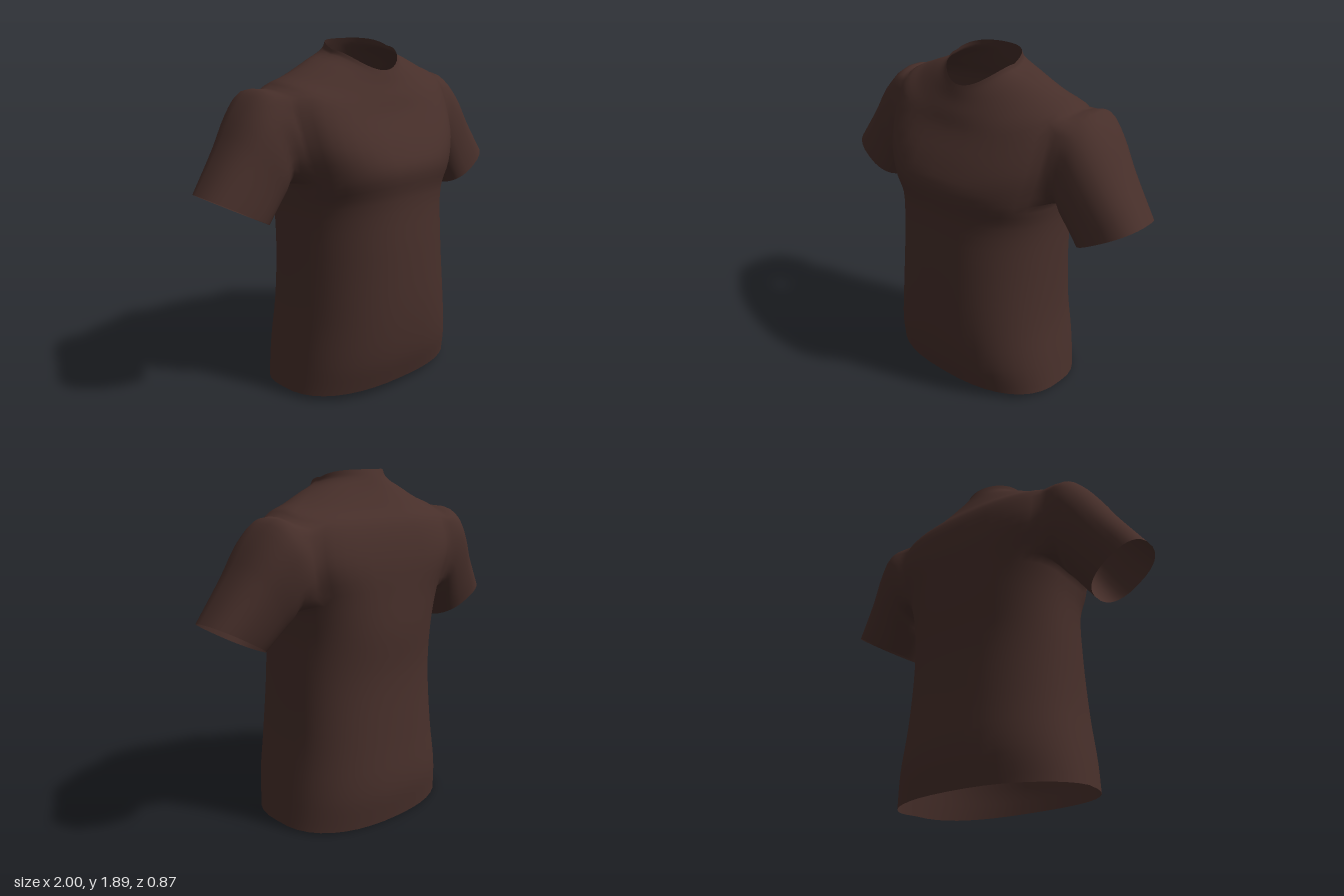
import * as THREE from 'three';

const COLS = 40, SUB = 4;                // columns round the body, steps per key ring
const ARM_FRONT = 3, ARM_BACK = 4;       // armhole columns before and behind the side seam
const ARM_LOW = 5, ARM_HIGH = 7;         // key rings bounding the armhole

// Body key rings: front y, side y, back y, half width, front z, back z, middle z,
// squareness of the front and of the back
const RINGS = [
  [0.045, 0.025, 0.002, 0.56, 0.37, -0.41, -0.03, 2.4, 2.3],
  [0.21, 0.2, 0.19, 0.535, 0.41, -0.43, -0.03, 2.4, 2.3],
  [0.45, 0.45, 0.45, 0.5, 0.43, -0.41, -0.03, 2.3, 2.3],
  [0.8, 0.8, 0.8, 0.485, 0.425, -0.388, -0.04, 2.15, 2.25],
  [1.1, 1.05, 1.05, 0.487, 0.413, -0.4, -0.05, 2.2, 2.3],
  [1.26, 1.19, 1.24, 0.507, 0.435, -0.395, -0.06, 2.5, 2.7],
  [1.38, 1.42, 1.44, 0.555, 0.385, -0.385, -0.08, 2.7, 3.6],
  [1.53, 1.67, 1.61, 0.555, 0.295, -0.345, -0.09, 2.4, 2.8],
  [1.61, 1.733, 1.7, 0.44, 0.26, -0.285, -0.07, 2.1, 2.2],
  [1.67, 1.782, 1.79, 0.32, 0.23, -0.23, -0.03, 2, 2],
  [1.72, 1.825, 1.85, 0.21, 0.21, -0.2, 0, 2, 2],
  [1.745, 1.85, 1.89, 0.198, 0.2, -0.18, 0, 2, 2],
];

// Sleeve key rings: top x, top y, bottom x, bottom y, front z, back z
const SLEEVE = [
  [0.635, 1.668, 0.535, 1.175, 0.145, -0.315],
  [0.735, 1.57, 0.565, 1.13, 0.145, -0.295],
  [0.84, 1.41, 0.605, 1.075, 0.135, -0.255],
  [1.0, 1.19, 0.66, 1.0, 0.125, -0.205],
];

const bend = (v, n) => Math.sign(v) * Math.abs(v) ** (2 / n);

function bodyPoint([yF, yS, yB, w, zF, zB, zM, nF, nB], t) {
  const s = Math.sin(t), c = Math.cos(t);
  const n = c > 0 ? nF : nB;
  const y = c > 0 ? yS + (yF - yS) * c * c : yS + (yB - yS) * (1 - (1 + c) ** 2);
  return new THREE.Vector3(w * bend(s, n), y, zM + Math.abs(bend(c, n)) * ((c > 0 ? zF : zB) - zM));
}

// The crown of the sleeve leans slightly backwards
function sleevePoint([tx, ty, bx, by, zF, zB], angle, side) {
  const u = bend(Math.cos(angle), 2.4), v = bend(Math.sin(angle), 2.4);
  return new THREE.Vector3(
    side * ((tx + bx) / 2 + v * (tx - bx) / 2),
    (ty + by) / 2 + v * (ty - by) / 2,
    (zF + zB) / 2 - side * u * (zF - zB) / 2 - 0.02 * v);
}

function shirtGeometry() {
  const pos = [], index = [];
  const add = (p) => pos.push(p.x, p.y, p.z) / 3 - 1;
  const quad = (a, b, c, d) => index.push(a, b, c, a, c, d);

  // Body: one smooth curve per column, from hem to collar
  const grid = [];
  for (let j = 0; j < COLS; j++) {
    const keys = RINGS.map((r) => bodyPoint(r, (j / COLS) * Math.PI * 2));
    grid.push(new THREE.CatmullRomCurve3(keys).getPoints(SUB * (RINGS.length - 1)).map(add));
  }
  const low = ARM_LOW * SUB, rows = (ARM_HIGH - ARM_LOW) * SUB;
  const armholes = [
    { side: 1, from: COLS / 4 - ARM_FRONT, to: COLS / 4 + ARM_BACK },
    { side: -1, from: COLS * 3 / 4 - ARM_BACK, to: COLS * 3 / 4 + ARM_FRONT },
  ];
  for (let j = 0; j < COLS; j++) {
    const beside = armholes.some(({ from, to }) => j >= from && j < to);
    const a = grid[j], b = grid[(j + 1) % COLS];
    for (let i = 0; i < a.length - 1; i++) {
      if (beside && i >= low && i < low + rows) continue; // armhole
      quad(a[i], b[i], b[i + 1], a[i + 1]);
    }
  }

  // Sleeves: grow from the armhole edge to the cuff
  for (const { side, from, to } of armholes) {
    const loop = [];
    for (let j = from; j < to; j++) loop.push([j, 0]);
    for (let i = 0; i < rows; i++) loop.push([to, i]);
    for (let j = to; j > from; j--) loop.push([j, rows]);
    for (let i = rows; i > 0; i--) loop.push([from, i]);
    const lines = loop.map(([j, i]) => {
      const edge = grid[j][low + i];
      const angle = Math.atan2(i * 2 / rows - 1, (j - from) * 2 / (to - from) - 1);
      const start = new THREE.Vector3().fromArray(pos, edge * 3);
      const path = new THREE.CatmullRomCurve3([start, ...SLEEVE.map((r) => sleevePoint(r, angle, side))]);
      return [edge, ...path.getPoints(12).slice(1).map(add)];
    });
    lines.forEach((a, k) => {
      const b = lines[(k + 1) % lines.length];
      for (let i = 0; i < a.length - 1; i++) quad(a[i], b[i], b[i + 1], a[i + 1]);
    });
  }

  const geometry = new THREE.BufferGeometry();
  geometry.setAttribute('position', new THREE.Float32BufferAttribute(pos, 3));
  geometry.setIndex(index);
  geometry.computeVertexNormals();
  return geometry;
}

export function createModel() {
  const group = new THREE.Group();
  group.name = 'tShirt';
  const cloth = new THREE.MeshStandardMaterial({ color: 0x472f2a, side: THREE.DoubleSide });
  const shirt = new THREE.Mesh(shirtGeometry(), cloth);
  shirt.name = 'shirtBodyAndSleeves';
  group.add(shirt);
  return group;
}
